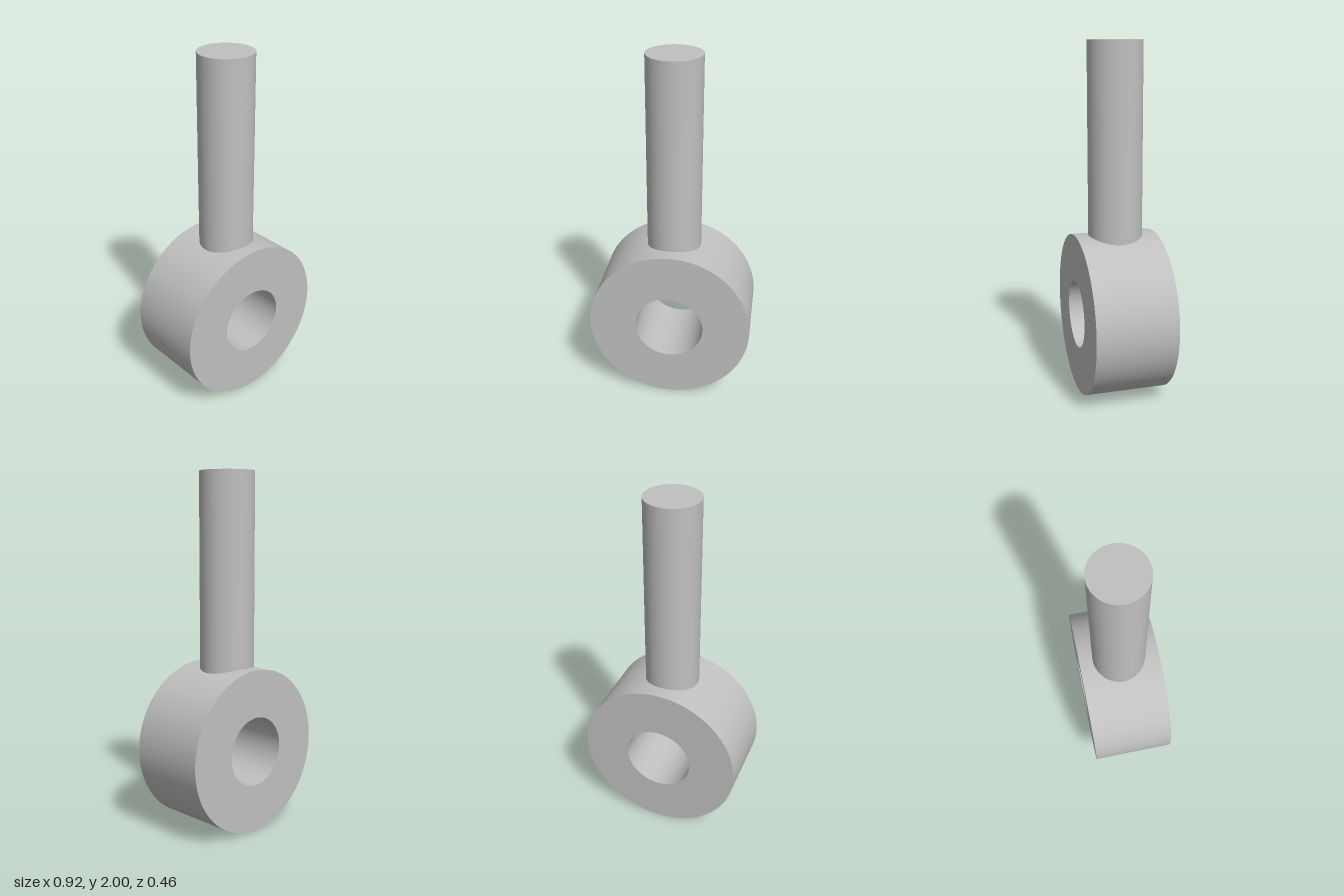
import * as THREE from 'three';
import { toCreasedNormals } from 'three/addons/utils/BufferGeometryUtils.js';

const RING_RADIUS = 0.461;
const BORE_RADIUS = 0.194;
const RING_DEPTH = 0.462;
const ROD_RADIUS = 0.153;
const ROD_BOTTOM = 0.78; // buried in the ring wall, above the bore
const HEIGHT = 2;

export function createModel() {
  const model = new THREE.Group();
  model.name = 'rodEnd';

  const steel = new THREE.MeshStandardMaterial({ color: 0xc0c0c0 });
  steel.name = 'steel grey';

  // Thick eye ring with a through bore along z
  const outline = new THREE.Shape().absarc(0, 0, RING_RADIUS, 0, Math.PI * 2, false);
  outline.holes.push(new THREE.Path().absarc(0, 0, BORE_RADIUS, 0, Math.PI * 2, true));
  const ringGeometry = new THREE.ExtrudeGeometry(outline, {
    depth: RING_DEPTH,
    bevelEnabled: false,
    curveSegments: 96,
  });
  ringGeometry.translate(0, RING_RADIUS, -RING_DEPTH / 2);
  const ring = new THREE.Mesh(toCreasedNormals(ringGeometry, Math.PI / 6), steel);
  ring.name = 'eyeRing';
  model.add(ring);

  // Round shank rising from the top of the ring
  const rodLength = HEIGHT - ROD_BOTTOM;
  const rod = new THREE.Mesh(new THREE.CylinderGeometry(ROD_RADIUS, ROD_RADIUS, rodLength, 64), steel);
  rod.position.y = ROD_BOTTOM + rodLength / 2;
  rod.name = 'shank';
  model.add(rod);

  return model;
}
